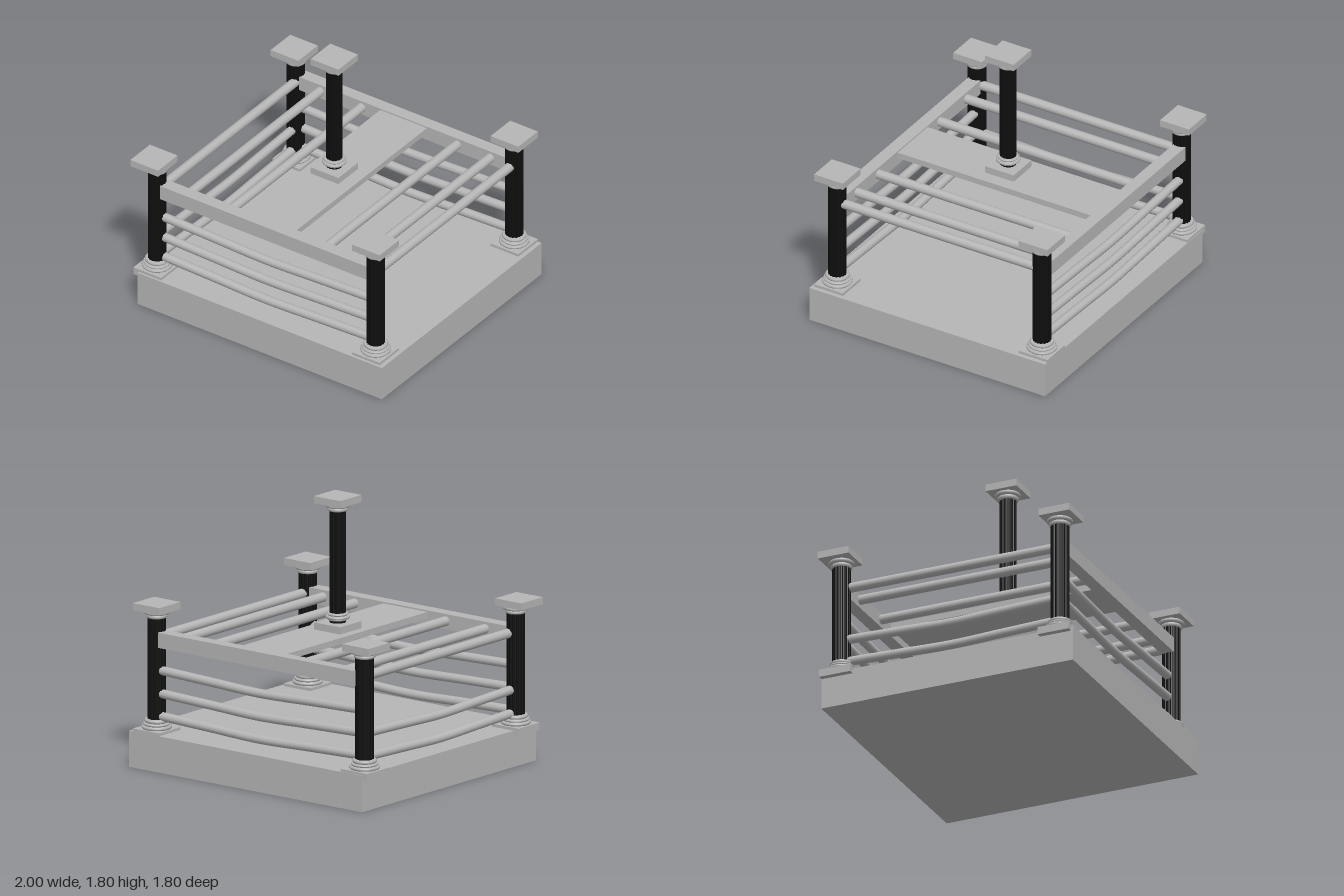
import * as THREE from 'three';

const stone = new THREE.MeshStandardMaterial({ color: 0xb6b6b6 });
stone.name = 'grey stone';
const black = new THREE.MeshStandardMaterial({ color: 0x0e0e0e });
black.name = 'black shaft';

function add(parent, name, geometry, material, x = 0, y = 0, z = 0) {
  const mesh = new THREE.Mesh(geometry, material);
  mesh.name = name;
  mesh.position.set(x, y, z);
  parent.add(mesh);
  return mesh;
}

// Box given by its lower and upper limits
function block(parent, name, [x0, x1], [y0, y1], [z0, z1]) {
  return add(parent, name, new THREE.BoxGeometry(x1 - x0, y1 - y0, z1 - z0), stone,
    (x0 + x1) / 2, (y0 + y1) / 2, (z0 + z1) / 2);
}

// Stepped round moulding: each step is [radius, bottom, top]
function moulding(parent, name, steps) {
  const group = new THREE.Group();
  group.name = name;
  for (const [r, y0, y1] of steps) {
    const b = Math.min(0.007, (y1 - y0) / 3);
    const profile = [[0, y0], [r - b, y0], [r, y0 + b], [r, y1 - b], [r - b, y1], [0, y1]];
    add(group, 'ring', new THREE.LatheGeometry(profile.map(p => new THREE.Vector2(...p)), 32), stone);
  }
  parent.add(group);
}

// Upright shaft with shallow flutes
function flutedShaft(radius, height) {
  const flutes = 16, points = [];
  for (let i = 0; i < flutes * 4; i++) {
    const a = (i / (flutes * 4)) * Math.PI * 2;
    const r = radius - [0, 0, 0.004, 0.004][i % 4];
    points.push(new THREE.Vector2(Math.cos(a) * r, Math.sin(a) * r));
  }
  return new THREE.ExtrudeGeometry(new THREE.Shape(points), { depth: height, bevelEnabled: false, steps: 1 })
    .rotateX(-Math.PI / 2);
}

// Column: plinth, base rings, shaft, capital rings and a square slab on top
function column(parent, name, x, z, o) {
  const group = new THREE.Group();
  group.name = name;
  group.position.set(x, 0, z);
  const w = 0.11, [px, pz] = o.plinth || [0, 0], [cx, cz] = o.cap || [0, 0];
  block(group, 'plinth', [px - w, px + w], [o.bottom, o.plinthTop], [pz - w, pz + w]);
  moulding(group, 'baseRings', o.rings);
  add(group, 'shaft', flutedShaft(o.radius, o.neck + 0.005 - o.plinthTop), black, 0, o.plinthTop, 0);
  moulding(group, 'capitalRings', [
    [0.07, o.neck, o.neck + 0.026],
    [0.085, o.neck + 0.026, o.neck + 0.05],
  ]);
  block(group, 'capitalSlab', [cx - w, cx + w], [o.neck + 0.05, o.neck + 0.098], [cz - w, cz + w]);
  parent.add(group);
}

// Sagging rail between two points
function sagRail(parent, name, a, b, sag) {
  const mid = a.clone().lerp(b, 0.5);
  mid.y -= sag;
  const curve = new THREE.CatmullRomCurve3([a, a.clone().lerp(mid, 0.5), mid, b.clone().lerp(mid, 0.5), b]);
  add(parent, name, new THREE.TubeGeometry(curve, 24, 0.03, 16), stone);
}

export function createModel() {
  const model = new THREE.Group();
  model.name = 'pavilion';

  // Platform
  block(model, 'platform', [-0.945, 1.0], [0, 0.243], [-0.9, 0.9]);

  // Corner columns
  const corner = {
    bottom: 0.21, plinthTop: 0.262, neck: 1.003, radius: 0.061,
    rings: [[0.1, 0.262, 0.285], [0.09, 0.285, 0.303], [0.08, 0.303, 0.328]],
  };
  column(model, 'frontLeftColumn', 0.86, 0.772, corner);
  column(model, 'backLeftColumn', 0.86, -0.79, corner);
  column(model, 'frontRightColumn', -0.875, 0.776, { ...corner, cap: [-0.015, 0.014] });
  column(model, 'backRightColumn', -0.875, -0.787, { ...corner, cap: [-0.015, -0.003] });

  // Cross beams at the front and back
  block(model, 'frontBeam', [-0.835, 0.81], [0.815, 0.917], [0.725, 0.813]);
  block(model, 'backBeam', [-0.835, 0.81], [0.815, 0.917], [-0.84, -0.755]);

  // Round roof poles running front to back
  for (const x of [-0.855, -0.66, -0.33, 0.43, 0.695, 0.86]) {
    const pole = add(model, 'roofPole', new THREE.CylinderGeometry(0.032, 0.032, 1.53, 20), stone, x, 0.87, -0.015);
    pole.rotation.x = Math.PI / 2;
  }

  // Board carrying the middle column
  block(model, 'roofBoard', [-0.18, 0.19], [0.865, 0.907], [-0.76, 0.73]);
  column(model, 'middleColumn', -0.01, 0.005, {
    bottom: 0.905, plinthTop: 0.955, neck: 1.702, radius: 0.055,
    rings: [[0.065, 0.97, 0.98], [0.08, 0.98, 1.003], [0.07, 1.003, 1.02]],
  });

  // Sagging rails at the front and back
  for (const z of [0.77, -0.795]) {
    for (const y of [0.655, 0.5, 0.348]) {
      sagRail(model, z > 0 ? 'frontRail' : 'backRail',
        new THREE.Vector3(-0.86, y, z), new THREE.Vector3(0.85, y, z), 0.026);
    }
  }

  // Sagging rails on one side, the other side stays open
  for (const y of [0.495, 0.337]) {
    sagRail(model, 'sideRail', new THREE.Vector3(-0.873, y, -0.78), new THREE.Vector3(-0.873, y, 0.77), 0.023);
  }

  return model;
}
